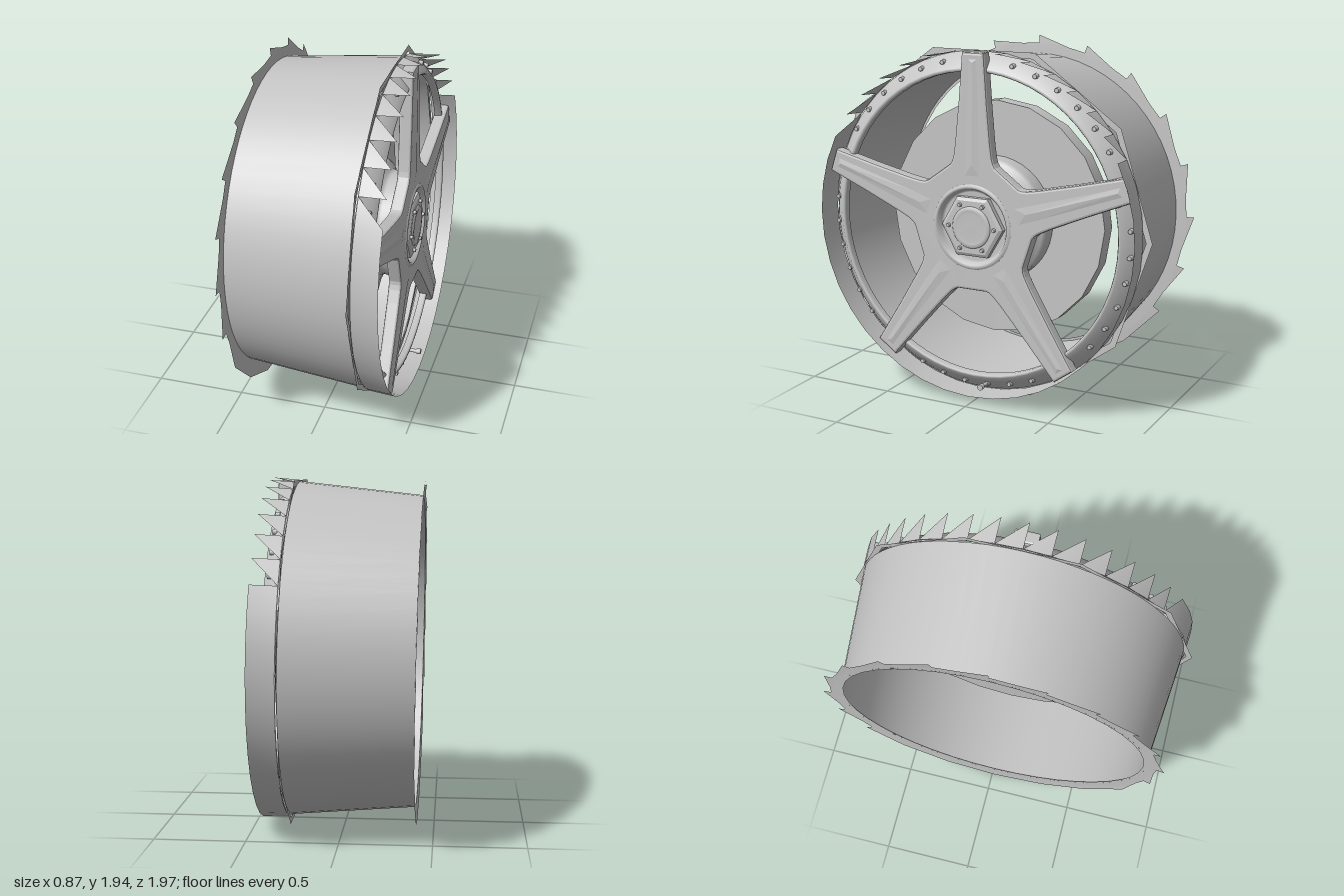
import * as THREE from 'three';
import { mergeVertices } from 'three/addons/utils/BufferGeometryUtils.js';

const metal = new THREE.MeshStandardMaterial({ color: 0xc4c4c4, side: THREE.DoubleSide });
metal.name = 'grey metal';

const TAU = Math.PI * 2;

function add(parent, name, geometry) {
  const mesh = new THREE.Mesh(geometry, metal);
  mesh.name = name;
  parent.add(mesh);
  return mesh;
}

// Lathe around the x axis; profile points are [radius, x]
function latheX(profile, segments) {
  const g = new THREE.LatheGeometry(profile.map(([r, x]) => new THREE.Vector2(r, x)), segments);
  return g.rotateZ(-Math.PI / 2);
}

// Small cylinder along the x axis
const pin = (front, back, length, sides) =>
  new THREE.CylinderGeometry(front, back, length, sides).rotateZ(-Math.PI / 2);

// Point on the wheel: angle runs from +z, over the top, to -z
const polar = (x, r, a) => [x, r * Math.sin(a), r * Math.cos(a)];

function triangles(positions) {
  const g = new THREE.BufferGeometry();
  g.setAttribute('position', new THREE.Float32BufferAttribute(positions, 3));
  return g;
}

// Ring strip between two edges [x, radius]; torn segments keep only one triangle
function strip(n, inner, outer, torn) {
  const p = [];
  for (let i = 0; i < n; i++) {
    const a = (i / n) * TAU, b = ((i + 1) / n) * TAU;
    p.push(...polar(...inner, a), ...polar(...inner, b), ...polar(...outer, a));
    if (!torn(i)) p.push(...polar(...inner, b), ...polar(...outer, b), ...polar(...outer, a));
  }
  const g = mergeVertices(triangles(p), 1e-4);
  g.computeVertexNormals();
  return g;
}

// Star plate outline: five tapering spokes joined by short flats, hole in the middle
function starShape() {
  const side = [[0.333, 0.137], [0.352, 0.125], [0.38, 0.117], [0.45, 0.107], [0.67, 0.086], [0.933, 0.066]];
  const shape = new THREE.Shape();
  for (let k = 0; k < 5; k++) {
    const a = Math.PI / 2 + (k * TAU) / 5;
    const right = side.map(([u, w]) => [u, -w]);
    const left = side.map(([u, w]) => [u, w]).reverse();
    [...right, ...left].forEach(([u, v], i) => {
      const x = u * Math.cos(a) - v * Math.sin(a), y = u * Math.sin(a) + v * Math.cos(a);
      if (k === 0 && i === 0) shape.moveTo(x, y);
      else shape.lineTo(x, y);
    });
  }
  shape.closePath();
  const hole = new THREE.Path();
  hole.absarc(0, 0, 0.205, 0, TAU, true);
  shape.holes.push(hole);
  return shape;
}

// Low raised ridge along the top spoke, as a roof with four slopes
function ridge() {
  const base = 0.384, top = 0.391;
  const A = [base, 0.27, 0.05], B = [base, 0.27, -0.05];
  const C = [base, 0.9, -0.028], D = [base, 0.9, 0.028];
  const E = [top, 0.34, 0], F = [top, 0.88, 0];
  const g = triangles([A, E, B, B, E, F, B, F, C, C, F, D, D, F, E, D, E, A].flat());
  g.computeVertexNormals();
  return g;
}

export function createModel() {
  const model = new THREE.Group();
  model.name = 'wheelRim';
  const wheel = new THREE.Group();
  wheel.name = 'wheel';
  wheel.position.set(0, 0.951, 0.015);
  wheel.rotation.z = 0.016; // slight camber
  model.add(wheel);

  // Open tapered barrel
  add(wheel, 'barrel', latheX([[0.865, -0.413], [0.93, 0.268]], 64));

  // Rear flange: narrow ring with a ragged outer edge on the upper part
  add(wheel, 'rearFlange', strip(40, [-0.412, 0.85], [-0.416, 0.925], () => false));
  add(wheel, 'rearFlangeEdge', strip(20, [-0.415, 0.915], [-0.42, 0.968], i => i < 12 || i > 17));

  // Ten-sided flange between barrel and lip
  add(wheel, 'frontFlange', strip(10, [0.268, 0.95], [0.268, 0.985], () => false));

  // Front lip: whole below, saw teeth across the top
  add(wheel, 'frontLip', strip(40, [0.277, 0.938], [0.422, 0.948], i => i >= 3 && i < 17));

  // Ring that carries the bolts, sloping back towards the lip
  add(wheel, 'boltRing', latheX([[0.83, 0.32], [0.831, 0.352], [0.838, 0.362], [0.85, 0.36],
    [0.875, 0.338], [0.905, 0.312], [0.935, 0.274]], 64));

  // Six bolts between each pair of spokes
  const bolts = new THREE.Group();
  bolts.name = 'ringBolts';
  wheel.add(bolts);
  const boltGeometry = pin(0.012, 0.016, 0.024, 8);
  for (let s = 0; s < 5; s++) {
    for (let i = 0; i < 6; i++) {
      const a = Math.PI / 2 + ((s * 72 + 13.5 + i * 9) * Math.PI) / 180;
      add(bolts, 'ringBolt', boltGeometry).position.set(...polar(0.33, 0.892, a));
    }
  }

  // Valve stem near the bottom
  const valveAngle = -Math.PI / 2 - 0.075;
  add(wheel, 'valve', pin(0.011, 0.011, 0.08, 10)).position.set(...polar(0.355, 0.89, valveAngle));
  add(wheel, 'valveCap', pin(0.017, 0.017, 0.025, 10)).position.set(...polar(0.4, 0.89, valveAngle));

  // Five-spoke star
  const star = new THREE.ExtrudeGeometry(starShape(), {
    depth: 0.05, bevelEnabled: true, bevelThickness: 0.012, bevelSize: 0.014,
    bevelOffset: -0.014, bevelSegments: 2, curveSegments: 48,
  });
  star.translate(0, 0, 0.323).rotateY(Math.PI / 2);
  add(wheel, 'spokes', star);
  for (let k = 0; k < 5; k++) {
    add(wheel, 'spokeRidge', ridge()).rotation.x = (k * TAU) / 5;
  }

  // Hub body behind the spokes
  add(wheel, 'hubBody', latheX([[0.35, 0.1], [0.35, 0.19], [0.335, 0.21], [0.3, 0.225],
    [0.29, 0.25], [0.3, 0.315]], 40));

  // Brake disc with a thick rear
  add(wheel, 'brakeDisc', latheX([[0, 0.11], [0.655, 0.11]], 20));
  add(wheel, 'brakeDiscBack', latheX([[0.655, 0.01], [0, 0.01]], 20));
  add(wheel, 'brakeDiscEdge', latheX([[0.655, 0.01], [0.655, 0.11]], 20));

  // Raised collar and recess around the centre cap
  add(wheel, 'hubRecess', latheX([[0.235, 0.384], [0.222, 0.394], [0.21, 0.39], [0.198, 0.365],
    [0.188, 0.352], [0, 0.352]], 48));

  // Hexagonal centre cap with stepped centre
  const hex = (name, r0, r1, x0, x1) => {
    const g = pin(r1, r0, x1 - x0, 6).toNonIndexed();
    g.computeVertexNormals();
    add(wheel, name, g).position.x = (x0 + x1) / 2;
  };
  hex('capBase', 0.185, 0.185, 0.35, 0.382);
  hex('capBevel', 0.185, 0.165, 0.382, 0.392);
  add(wheel, 'capCentre', latheX([[0.115, 0.392], [0.108, 0.4], [0.09, 0.401], [0.08, 0.396], [0, 0.398]], 32));

  // Small cap bolts
  const capBolt = pin(0.01, 0.012, 0.018, 8);
  for (let i = 0; i < 6; i++) {
    add(wheel, 'capBolt', capBolt).position.set(...polar(0.398, 0.137, (i * TAU) / 6));
  }
  return model;
}
